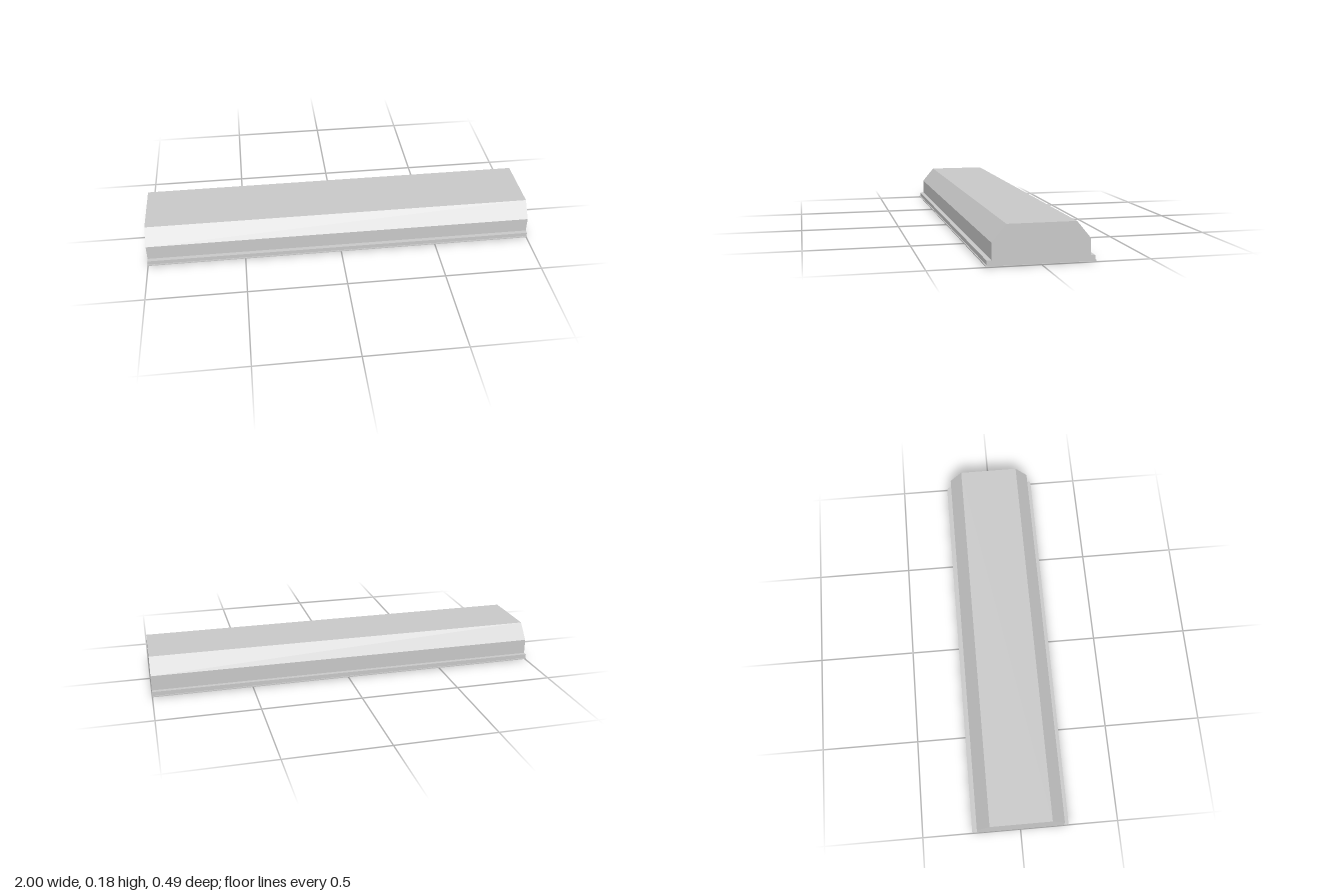
import * as THREE from 'three';

export function createModel() {
  const group = new THREE.Group();
  const metal = new THREE.MeshStandardMaterial({ color: 0xc8c8c8 });
  metal.name = 'light grey metal';

  const add = (name, geometry) => {
    const mesh = new THREE.Mesh(geometry, metal);
    mesh.name = name;
    group.add(mesh);
    return mesh;
  };

  // Housing: chamfered cross-section run along x; its underside is the recessed panel
  const profile = new THREE.Shape([
    [-0.221, 0.03], [0.221, 0.03], [0.221, 0.106],
    [0.156, 0.184], [-0.156, 0.184], [-0.221, 0.106],
  ].map(([z, y]) => new THREE.Vector2(z, y)));
  const housing = new THREE.ExtrudeGeometry(profile, { depth: 2, bevelEnabled: false });
  housing.translate(0, 0, -1).rotateY(Math.PI / 2);
  add('housing', housing);

  // Rectangular frames around the opening
  const frame = (name, halfDepth, y0, y1) => {
    const rect = (x, z) => [[-x, -z], [x, -z], [x, z], [-x, z]].map((p) => new THREE.Vector2(...p));
    const shape = new THREE.Shape(rect(1, halfDepth));
    shape.holes.push(new THREE.Path(rect(0.965, 0.212).reverse()));
    const geometry = new THREE.ExtrudeGeometry(shape, { depth: y1 - y0, bevelEnabled: false });
    geometry.rotateX(-Math.PI / 2).translate(0, y0, 0);
    add(name, geometry);
  };
  frame('skirtFrame', 0.242, 0.009, 0.03);
  frame('bottomFlange', 0.247, 0.004, 0.009);

  // Two small latches under the rear rim
  for (const side of [-1, 1]) {
    add(side > 0 ? 'leftLatch' : 'rightLatch', new THREE.BoxGeometry(0.05, 0.004, 0.024))
      .position.set(side * 0.63, 0.002, -0.224);
  }

  return group;
}
